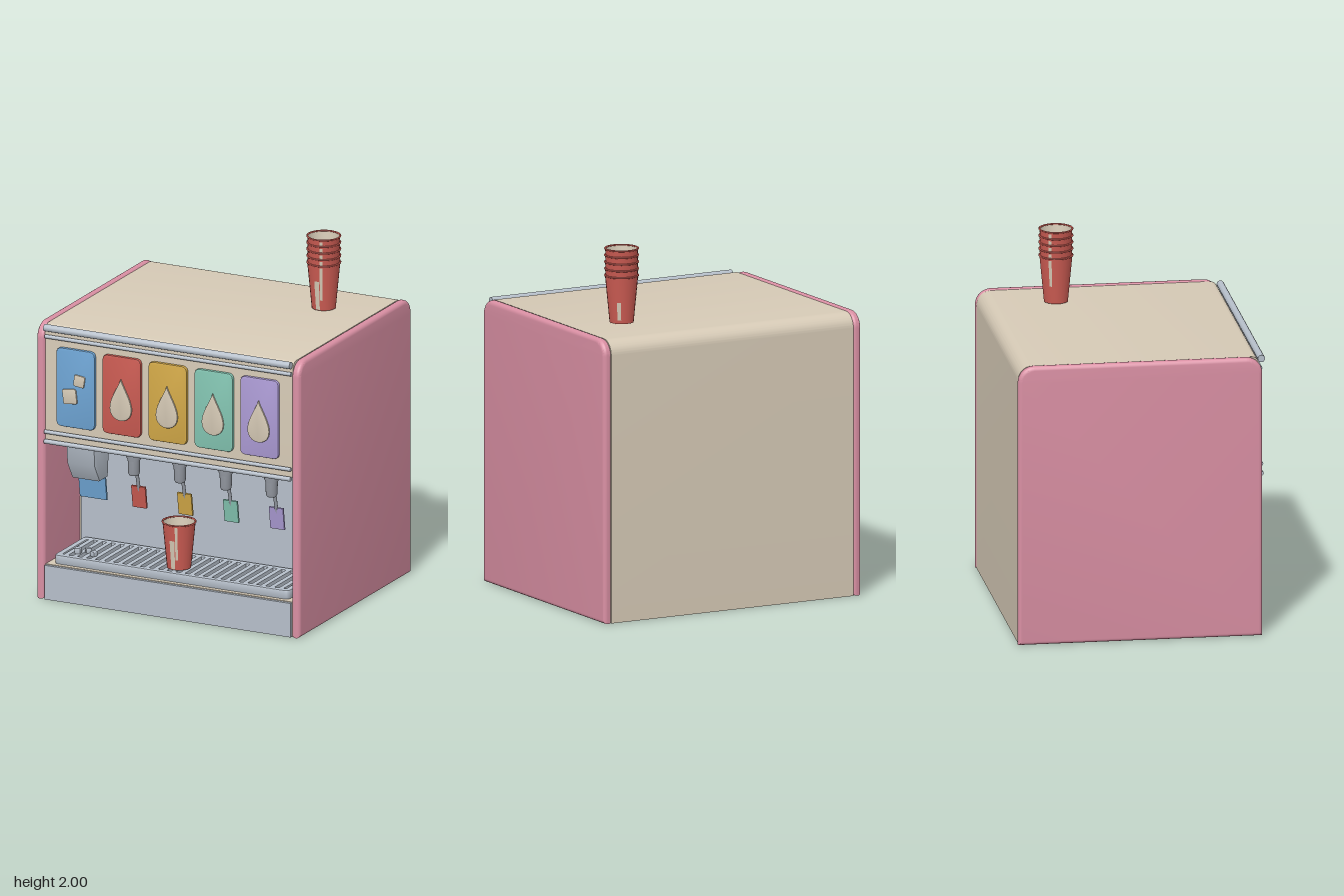
import * as THREE from 'three';
import { toCreasedNormals } from 'three/addons/utils/BufferGeometryUtils.js';

const mat = (name, color, side = THREE.FrontSide) => {
  const m = new THREE.MeshStandardMaterial({ color, side });
  m.name = name;
  return m;
};

export function createModel() {
  const pink = mat('pink', 0xd98fa3);
  const cream = mat('cream', 0xd6cab6);
  const steel = mat('steel', 0xb6bfca);
  const darkSteel = mat('dark steel', 0x9ba0a9);
  const red = mat('red', 0xcb5b52);
  const blue = mat('blue', 0x6fa6d6);
  const yellow = mat('yellow', 0xd4aa48);
  const green = mat('green', 0x84c6b3);
  const purple = mat('purple', 0xad9cd6);

  const root = new THREE.Group();
  root.name = 'drinkDispenser';

  const add = (name, geo, material, x = 0, y = 0, z = 0, parent = root) => {
    const m = new THREE.Mesh(geo, material);
    m.name = name;
    m.position.set(x, y, z);
    parent.add(m);
    return m;
  };
  const box = (name, material, w, h, d, x, y, z, parent) =>
    add(name, new THREE.BoxGeometry(w, h, d), material, x, y, z, parent);
  const lathe = (pts, seg = 24) =>
    toCreasedNormals(new THREE.LatheGeometry(pts.map(p => new THREE.Vector2(...p)), seg), 0.6);
  const extrude = (shape, depth, bevel = 0, steps = 2) =>
    toCreasedNormals(new THREE.ExtrudeGeometry(shape, {
      depth, curveSegments: 10, bevelEnabled: bevel > 0, bevelSize: bevel,
      bevelThickness: bevel, bevelOffset: -bevel, bevelSegments: steps,
    }), 0.6);
  // extrude a side profile (drawn with -z to the right) across the width, centred on x = 0
  const sideExtrude = (shape, width, bevel = 0, steps = 2) => {
    const g = extrude(shape, width - 2 * bevel, bevel, steps);
    g.translate(0, 0, -(width - 2 * bevel) / 2);
    return g.rotateY(Math.PI / 2);
  };
  const roundRect = (w, h, r) => {
    const s = new THREE.Shape();
    const x = w / 2, y = h / 2;
    s.moveTo(-x + r, -y).lineTo(x - r, -y).quadraticCurveTo(x, -y, x, -y + r);
    s.lineTo(x, y - r).quadraticCurveTo(x, y, x - r, y);
    s.lineTo(-x + r, y).quadraticCurveTo(-x, y, -x, y - r);
    s.lineTo(-x, -y + r).quadraticCurveTo(-x, -y, -x + r, -y);
    return s;
  };

  // body with an open serving bay
  const body = new THREE.Shape();
  body.moveTo(-0.65, 0).lineTo(0.68, 0).lineTo(0.68, 1.495);
  body.absarc(0.6, 1.495, 0.08, 0, Math.PI / 2);
  body.lineTo(-0.61, 1.575);
  body.absarc(-0.61, 1.535, 0.04, Math.PI / 2, Math.PI);
  [[-0.65, 0.91], [-0.24, 0.91], [-0.24, 0.2], [-0.65, 0.2]].forEach(p => body.lineTo(...p));
  add('body', sideExtrude(body, 1.52), cream);

  // side panels
  const panel = new THREE.Shape();
  panel.moveTo(-0.665, 0).lineTo(0.685, 0).lineTo(0.685, 1.49);
  panel.absarc(0.595, 1.49, 0.09, 0, Math.PI / 2);
  panel.lineTo(-0.575, 1.58);
  panel.absarc(-0.575, 1.49, 0.09, Math.PI / 2, Math.PI);
  panel.lineTo(-0.665, 0);
  for (const s of [-1, 1])
    add(s > 0 ? 'leftPanel' : 'rightPanel', sideExtrude(panel, 0.052, 0.022, 4), pink, s * 0.783);

  // steel linings
  box('bayBackWall', steel, 1.49, 0.7, 0.008, 0, 0.555, 0.244);
  box('basePanel', steel, 1.51, 0.195, 0.018, 0, 0.0985, 0.659);

  // horizontal trim rails
  for (const [y, r, z] of [[1.56, 0.02, 0.666], [1.508, 0.011, 0.66], [0.963, 0.011, 0.665], [0.908, 0.013, 0.666]])
    add('trimRail', new THREE.CylinderGeometry(r, r, 1.51, 14).rotateZ(Math.PI / 2), steel, 0, y, z);

  // drip tray and grille
  const tray = new THREE.Group();
  tray.name = 'dripTray';
  root.add(tray);
  const frame = roundRect(1.44, 0.37, 0.03);
  frame.holes.push(roundRect(1.37, 0.3, 0.02));
  add('trayFrame', extrude(frame, 0.038, 0.008).rotateX(-Math.PI / 2), steel, 0, 0.205, 0.44, tray);
  box('trayFloor', darkSteel, 1.4, 0.008, 0.33, 0, 0.206, 0.44, tray);
  for (let i = 0; i < 25; i++)
    box('grilleBar', steel, 0.028, 0.02, 0.32, -0.66 + i * 0.055, 0.24, 0.44, tray);

  // selection buttons with icons
  const xs = [-0.565, -0.282, 0, 0.282, 0.563];
  const colours = [blue, red, yellow, green, purple];
  const drop = new THREE.Shape();
  drop.moveTo(0, 0.125);
  drop.bezierCurveTo(-0.02, 0.07, -0.067, 0.01, -0.067, -0.047);
  drop.bezierCurveTo(-0.067, -0.137, 0.067, -0.137, 0.067, -0.047);
  drop.bezierCurveTo(0.067, 0.01, 0.02, 0.07, 0, 0.125);
  const buttonGeo = extrude(roundRect(0.235, 0.45, 0.035), 0.012, 0.005);
  const dropGeo = extrude(drop, 0.004, 0.004);
  xs.forEach((x, i) => {
    add('selectionButton', buttonGeo, colours[i], x, 1.235, 0.654);
    if (i) add('dropIcon', dropGeo, cream, x, 1.21, 0.676);
  });
  for (const [x, y, s, a] of [[-0.595, 1.19, 0.085, 0.12], [-0.537, 1.285, 0.066, -0.14]])
    add('iceIcon', extrude(roundRect(s, s, 0.012), 0.004, 0.004), cream, x, y, 0.676).rotation.z = a;

  // nozzles with push levers
  const nozzleGeo = lathe([[0, 0.742], [0.026, 0.742], [0.032, 0.755], [0.034, 0.825], [0.05, 0.868], [0.05, 0.912]]);
  xs.slice(1).forEach((x, i) => {
    add('nozzle', nozzleGeo, darkSteel, x, 0, 0.52);
    const stem = new THREE.LineCurve3(new THREE.Vector3(x, 0.8, 0.5), new THREE.Vector3(x, 0.63, 0.456));
    add('leverStem', new THREE.TubeGeometry(stem, 1, 0.01, 8), darkSteel);
    box('leverPaddle', colours[i + 1], 0.086, 0.128, 0.012, x, 0.598, 0.455).rotation.x = 0.15;
  });

  // ice chute
  const chute = new THREE.Shape();
  [[-0.61, 0.912], [-0.6, 0.78], [-0.54, 0.68], [-0.44, 0.68], [-0.42, 0.912]]
    .forEach((p, i) => (i ? chute.lineTo(...p) : chute.moveTo(...p)));
  add('iceChute', sideExtrude(chute, 0.172, 0.008), steel, -0.567);
  box('icePaddle', blue, 0.165, 0.15, 0.012, -0.567, 0.622, 0.455).rotation.x = 0.15;

  // loose ice cubes
  for (const [x, z, s, a] of [[-0.615, 0.53, 0.034, 0.2], [-0.575, 0.5, 0.03, 0.7], [-0.51, 0.54, 0.03, -0.3]])
    add('iceCube', extrude(roundRect(s, s, 0.006), s - 0.008, 0.004), steel, x, 0.25 + s / 2, z).rotation.y = a;

  // paper cups: red outside, cream inside, pale streaks down the wall
  const outerGeo = lathe([[0, 0], [0.066, 0], [0.091, 0.262]]);
  const innerGeo = lathe([[0.088, 0.262], [0.063, 0.012], [0, 0.012]]);
  const rimGeo = new THREE.TorusGeometry(0.091, 0.005, 8, 24).rotateX(Math.PI / 2);
  const streak = (a, w, y0, y1) => {
    const r = y => 0.0675 + y * 0.0954;
    return new THREE.CylinderGeometry(r(y1), r(y0), y1 - y0, 4, 1, true, a, w).translate(0, (y0 + y1) / 2, 0);
  };
  const cup = (x, y, z) => {
    const g = new THREE.Group();
    g.name = 'cup';
    g.position.set(x, y, z);
    root.add(g);
    add('cupWall', outerGeo, red, 0, 0, 0, g);
    add('cupLining', innerGeo, cream, 0, 0, 0, g);
    add('cupRim', rimGeo, red, 0, 0.261, 0, g);
    for (const [a, w, y0, y1] of [[-0.2, 0.35, 0.005, 0.17], [0.2, 0.18, 0.06, 0.25], [2.3, 0.3, 0.02, 0.12], [4.1, 0.2, 0.1, 0.25]])
      add('cupStreak', streak(a, w, y0, y1), cream, 0, 0, 0, g);
  };
  cup(0, 0.258, 0.53);
  for (let i = 0; i < 5; i++) cup(0.472, 1.584 + i * 0.0375, -0.285);

  return root;
}
